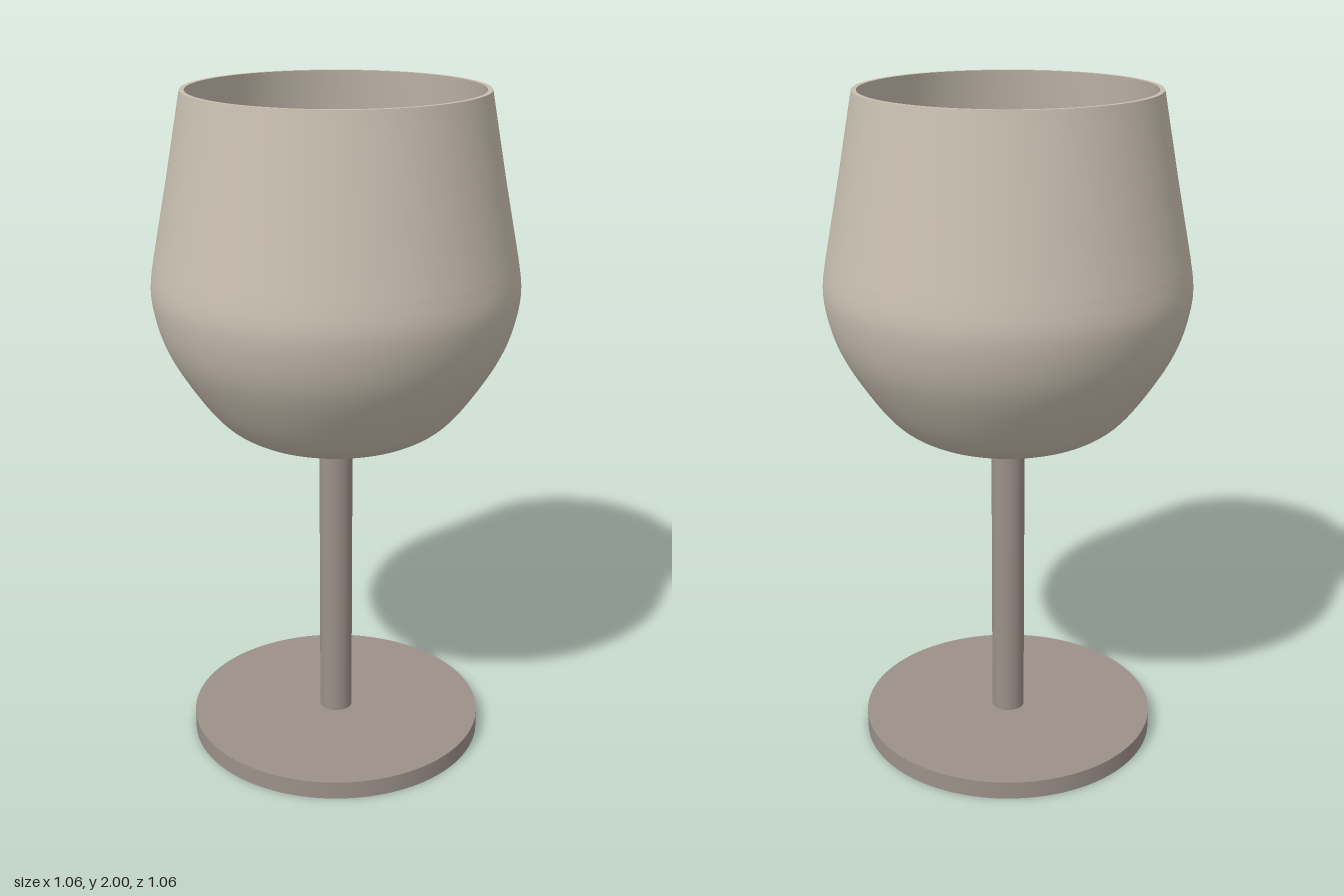
import * as THREE from 'three';

const SEGMENTS = 96;

export function createModel() {
  const model = new THREE.Group();
  model.name = 'wineGlass';

  const material = (name, color) => {
    const m = new THREE.MeshStandardMaterial({ color });
    m.name = name;
    return m;
  };
  const bowlColour = material('pale beige', 0xc8beb0);
  const stemColour = material('warm grey', 0x9c918a);
  const wineColour = material('wine red', 0xa84141);

  const add = (name, geometry, mat, y = 0, parent = model) => {
    const mesh = new THREE.Mesh(geometry, mat);
    mesh.name = name;
    mesh.position.y = y;
    parent.add(mesh);
    return mesh;
  };
  const cylinder = (radius, height) => new THREE.CylinderGeometry(radius, radius, height, SEGMENTS);
  const lathe = (points) => new THREE.LatheGeometry(points, SEGMENTS);
  const v = (x, y) => new THREE.Vector2(x, y);

  // Foot and stem
  add('foot', cylinder(0.45, 0.055), stemColour, 0.0275);
  add('stem', cylinder(0.05, 0.94), stemColour, 0.52);

  // Bowl: rounded lower curve, then a straight taper to the rim
  const curve = new THREE.SplineCurve([
    v(0.19, 0.985), v(0.28, 1.01), v(0.36, 1.07), v(0.453, 1.2),
    v(0.507, 1.31), v(0.532, 1.43), v(0.521, 1.53),
  ]);
  const outer = [v(0, 0.985), v(0.1, 0.985), ...curve.getPoints(36), v(0.476, 1.76), v(0.432, 2)];
  const wall = 0.014;
  const inner = outer
    .map((p) => v(Math.max(0, p.x - wall), p.y === 2 ? 2 : p.y + wall * Math.max(0, 1 - (p.y - 0.985) / 0.4)))
    .filter((p, i) => i !== 1)
    .reverse();

  const bowl = new THREE.Group();
  bowl.name = 'bowl';
  model.add(bowl);
  add('bowlOutside', lathe(outer), bowlColour, 0, bowl);
  add('bowlInside', lathe(inner), bowlColour, 0, bowl);
  add('rim', lathe([v(0.432, 2), v(0.432 - wall, 2)]), bowlColour, 0, bowl);

  // Wine surface, set a little below the rim
  add('wine', cylinder(0.41, 0.02), wineColour, 1.85);

  return model;
}
